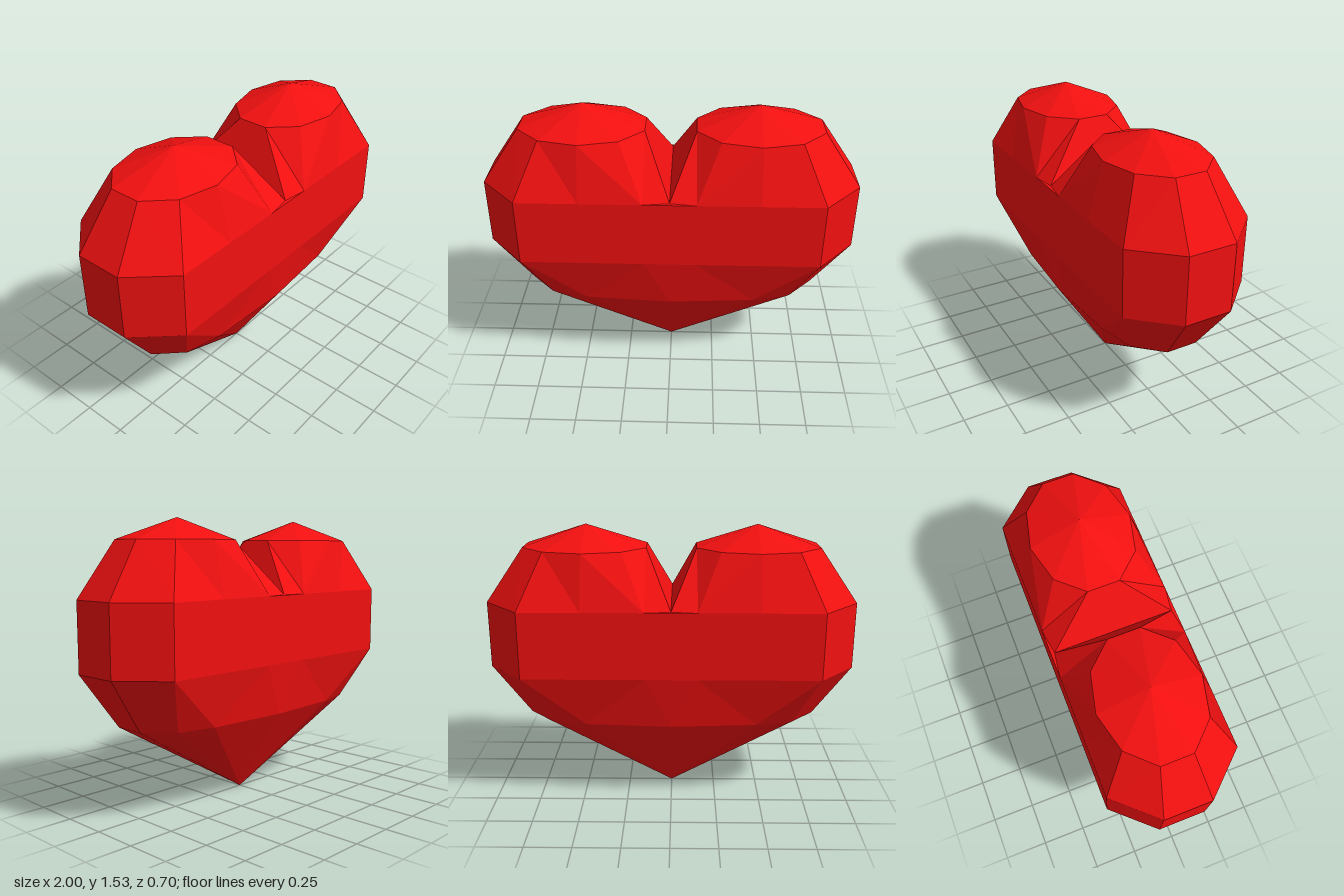
import * as THREE from 'three';

// Quarter rings [x, z], running from the outer side (z = 0) round the front to x = 0
const TIP_Y = 0, LOW_Y = 0.475, WAIST_Y = 0.765, RIM_Y = 1.13, CROWN_Y = 1.42, APEX_Y = 1.535;
const belt = [[1, 0], [1, 0.13], [0.8, 0.35], [0.47, 0.35], [0.14, 0.35], [0, 0.35]];
const low = [[0.8, 0], [0.8, 0.085], [0.67, 0.22], [0.465, 0.27], [0.465, 0.27], [0, 0.3]];
// Repeated points make triangular facets beside the cleft
const rim = [[1, 0], [1, 0.13], [0.8, 0.35], [0.47, 0.35], [0.14, 0.35], [0.14, 0.35], [0, 0.33], [0, 0]];
const crown = [[0.8, 0], [0.8, 0.085], [0.67, 0.22], [0.465, 0.27], [0.26, 0.22], [0.135, 0.085], [0.135, 0.085], [0.135, 0]];

const at = (ring, y) => ring.map(([x, z]) => new THREE.Vector3(x, y, z));
const point = (ring, x, y) => ring.map(() => new THREE.Vector3(x, y, 0));

// Facets between an upper and a lower ring
function strip(upper, lower) {
  const tris = [];
  for (let i = 0; i < upper.length - 1; i++) {
    tris.push([upper[i], upper[i + 1], lower[i + 1]], [upper[i], lower[i + 1], lower[i]]);
  }
  return tris.filter(t => new THREE.Triangle(...t).getArea() > 1e-6);
}

// Mirror quarter facets into the given x sides and both z sides
function facetMesh(name, tris, sidesX, material) {
  const pos = [];
  for (const sx of sidesX) for (const sz of [1, -1]) {
    for (const [a, b, c] of tris) {
      const order = sx * sz > 0 ? [a, b, c] : [a, c, b];
      for (const p of order) pos.push(p.x * sx, p.y, p.z * sz);
    }
  }
  const geometry = new THREE.BufferGeometry();
  geometry.setAttribute('position', new THREE.Float32BufferAttribute(pos, 3));
  geometry.computeVertexNormals();
  const mesh = new THREE.Mesh(geometry, material);
  mesh.name = name;
  return mesh;
}

export function createModel() {
  const group = new THREE.Group();
  group.name = 'heart';
  const red = new THREE.MeshStandardMaterial({ color: 0xf21010, flatShading: true });

  // Straight middle band, with the small ledges at the ends of the cleft
  const ledge = at([[0, 0.33], [0, 0.35], [0.14, 0.35]], RIM_Y);
  const band = [...strip(at(belt, RIM_Y), at(belt, WAIST_Y)), ledge];
  group.add(facetMesh('middleBand', band, [1, -1], red));

  // Tapering underside and pointed tip
  const point0 = point(low, 0, TIP_Y);
  const under = [...strip(at(belt, WAIST_Y), at(low, LOW_Y)), ...strip(at(low, LOW_Y), point0)];
  group.add(facetMesh('lowerPoint', under, [1, -1], red));

  // Two domed lobes
  const lobe = [
    ...strip(at(crown, CROWN_Y), at(rim, RIM_Y)),
    ...strip(point(crown, 0.465, APEX_Y), at(crown, CROWN_Y)),
  ];
  group.add(facetMesh('leftLobe', lobe, [1], red));
  group.add(facetMesh('rightLobe', lobe, [-1], red));

  return group;
}
